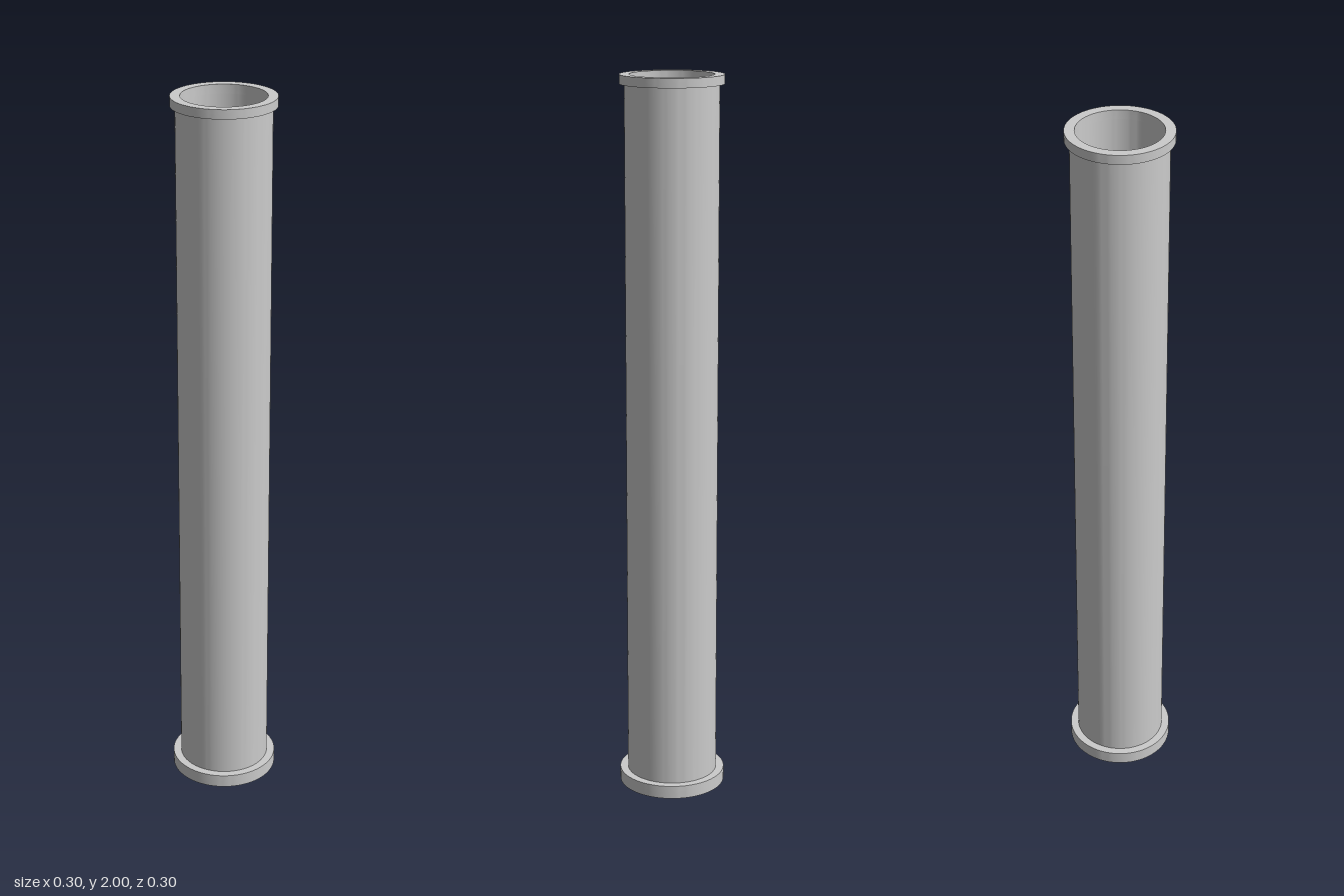
import * as THREE from 'three';
import { toCreasedNormals } from 'three/addons/utils/BufferGeometryUtils.js';

const material = new THREE.MeshStandardMaterial({ color: 0xcccccc });

// Revolve a profile (outer side going up, inner side coming down), keeping its corners sharp
function turned(name, profile) {
  const points = profile.map(([r, y]) => new THREE.Vector2(r, y));
  const geometry = toCreasedNormals(new THREE.LatheGeometry(points, 96), 0.6);
  const mesh = new THREE.Mesh(geometry, material);
  mesh.name = name;
  return mesh;
}

// Closed ring with a rectangular section
function ring(name, inner, outer, bottom, top) {
  return turned(name, [
    [inner, bottom], [outer, bottom], [outer, top], [inner, top], [inner, bottom],
  ]);
}

export function createModel() {
  const group = new THREE.Group();
  group.name = 'tubeHolder';

  const boreRadius = 0.1125;
  const shaftRadius = 0.126;
  const rimBottom = 1.975;

  // Hollow shaft, open at the top and closed by a thin floor
  group.add(turned('shaft', [
    [0, 0.032], [shaftRadius, 0.032], [shaftRadius, rimBottom],
    [boreRadius, rimBottom], [boreRadius, 0.05], [0, 0.05],
  ]));

  // Lip around the mouth
  group.add(ring('topRim', boreRadius, 0.139, rimBottom, 2));

  // Wider foot with a round recess underneath
  group.add(ring('baseRing', 0.083, 0.148, 0, 0.037));

  return group;
}
